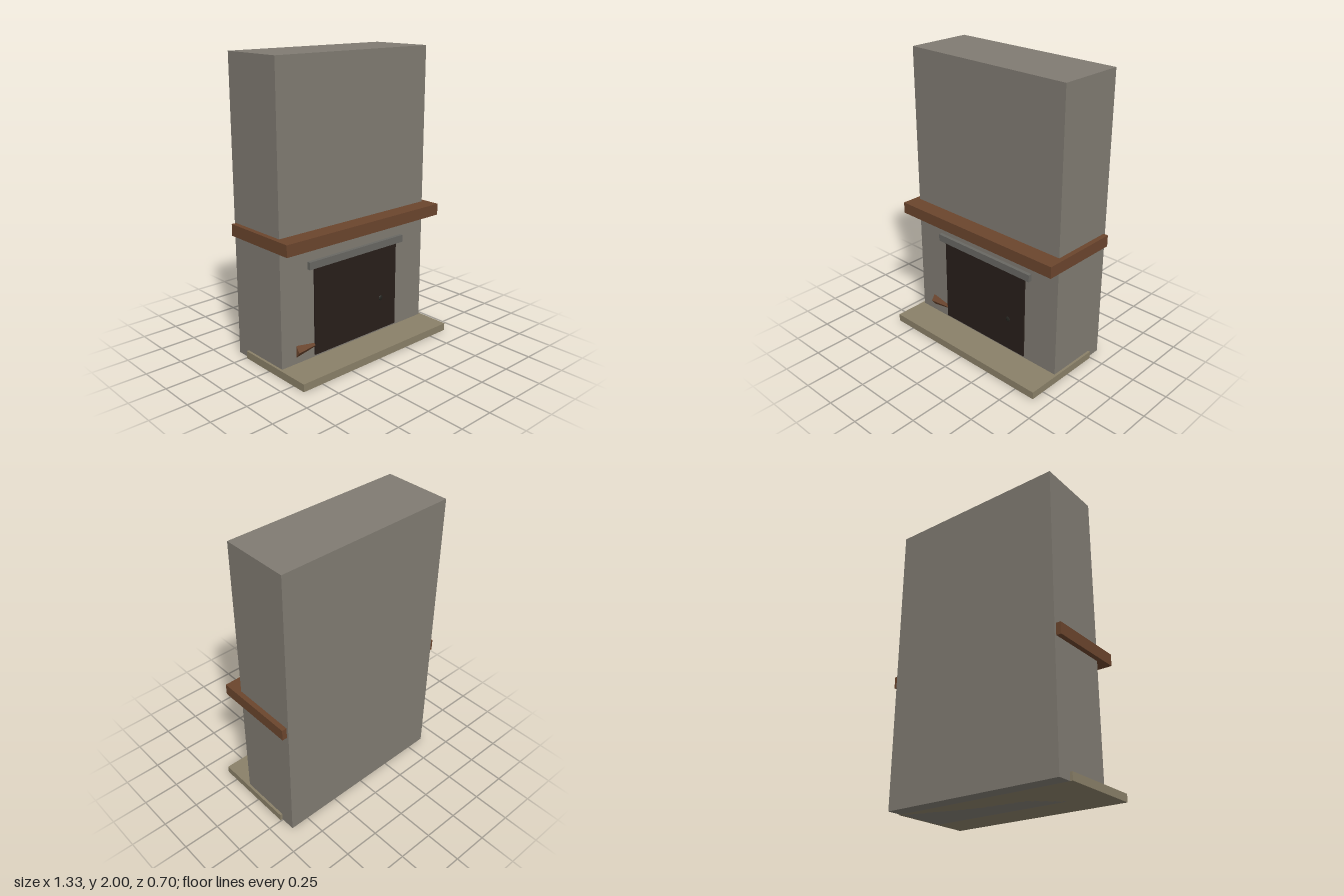
import * as THREE from 'three';

const STONE = 0x807b72, WOOD = 0x6b452d, SLATE = 0x8a8068, SOOT = 0x281e1a, IRON = 0x686762, KNOB = 0x24241f;

const material = (color) => new THREE.MeshStandardMaterial({ color, flatShading: true });

// Box given by its limits on each axis
function block(name, color, [x0, x1], [y0, y1], [z0, z1]) {
  const mesh = new THREE.Mesh(new THREE.BoxGeometry(x1 - x0, y1 - y0, z1 - z0), material(color));
  mesh.position.set((x0 + x1) / 2, (y0 + y1) / 2, (z0 + z1) / 2);
  mesh.name = name;
  return mesh;
}

export function createModel() {
  const group = new THREE.Group();
  group.name = 'fireplace';

  // Masonry, hearth slab and wrap-around mantel shelf
  group.add(
    block('chimneyBreast', STONE, [-0.633, 0.633], [0, 2], [-0.35, 0.115]),
    block('hearth', SLATE, [-0.65, 0.65], [0, 0.052], [-0.245, 0.35]),
    block('mantelShelf', WOOD, [-0.667, 0.667], [0.837, 0.916], [-0.335, 0.233]),
    block('firebox', SOOT, [-0.367, 0.367], [0.067, 0.67], [-0.2, 0.125]),
    block('lintel', IRON, [-0.416, 0.416], [0.67, 0.72], [0.05, 0.14])
  );

  // Bellows: four-sided wedge on its side, tapering towards the firebox
  const wedge = new THREE.ConeGeometry(0.041, 0.23, 4);
  wedge.rotateZ(-Math.PI / 2);
  wedge.scale(1, 1, 0.73);
  const bellows = new THREE.Mesh(wedge, material(WOOD));
  bellows.position.set(-0.402, 0.136, 0.115);
  bellows.name = 'bellows';
  group.add(bellows);

  // Small dark knob just breaking the firebox face
  const knob = new THREE.Mesh(new THREE.SphereGeometry(0.022, 8, 6), material(KNOB));
  knob.scale.z = 0.5;
  knob.position.set(0.225, 0.3, 0.12);
  knob.name = 'knob';
  group.add(knob);

  return group;
}
